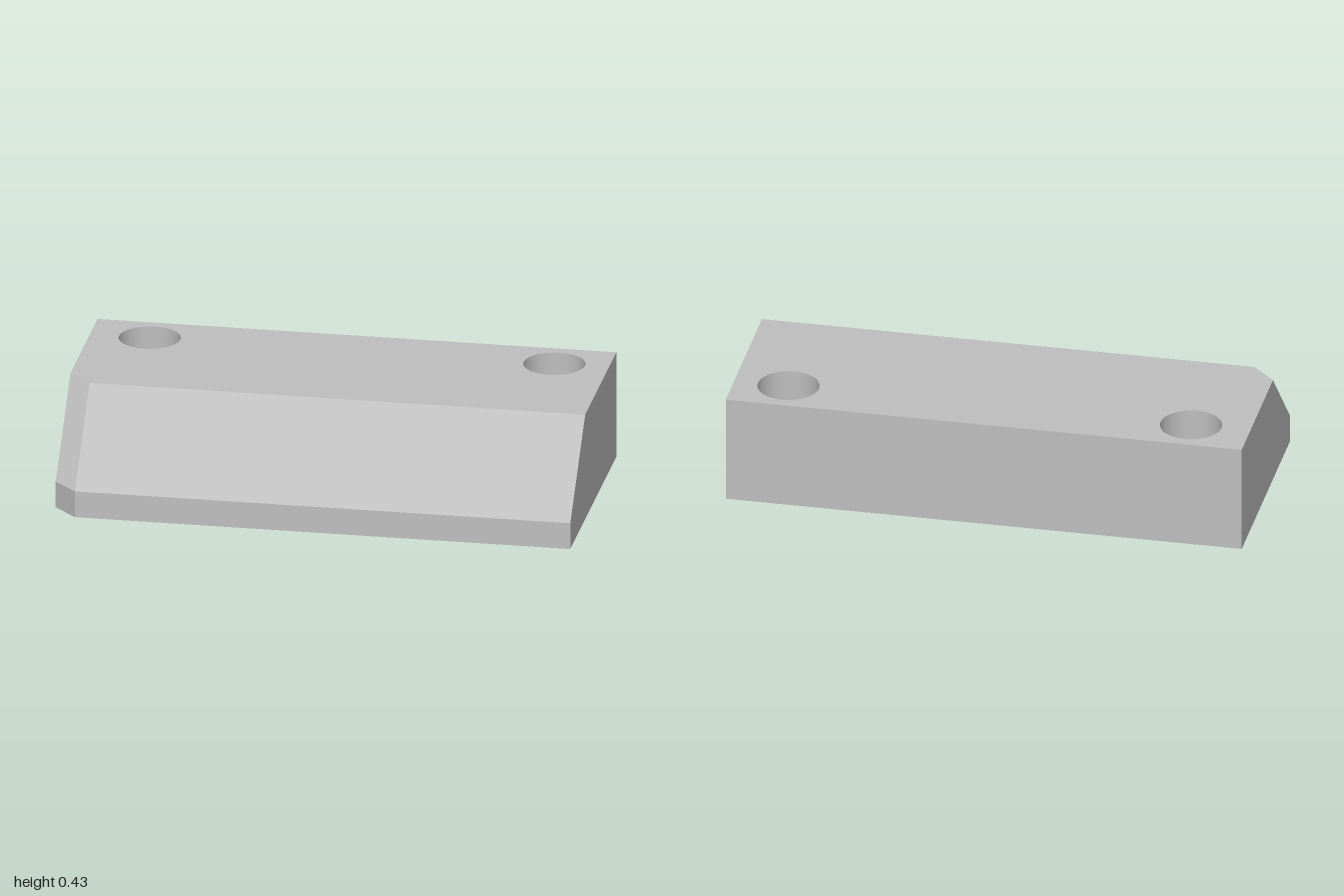
import * as THREE from 'three';

const HEIGHT = 0.425, LIP = 0.105, FRONT = 0.495, BACK = -0.495;
const SLOPE_Z = 0.175, CUT = 0.09;
const HOLE_R = 0.118, HOLE_DEPTH = 0.32, HOLE_Z = -0.335;
const HOLE_XS = [-0.77, 0.79];

// Plan outline [x, z] whose front edge sits at the given z, with one front corner cut off
const outline = (front) => [
  [-1 + CUT, front], [1, front], [1, BACK], [-1, BACK], [-1, front - CUT],
];

// Flat-shaded wall between two stacked outlines
function wall(lower, y0, upper, y1) {
  const pos = [];
  lower.forEach((a, i) => {
    const j = (i + 1) % lower.length;
    const b = lower[j], c = upper[j], d = upper[i];
    pos.push(a[0], y0, a[1], b[0], y0, b[1], c[0], y1, c[1]);
    pos.push(a[0], y0, a[1], c[0], y1, c[1], d[0], y1, d[1]);
  });
  const g = new THREE.BufferGeometry();
  g.setAttribute('position', new THREE.Float32BufferAttribute(pos, 3));
  g.computeVertexNormals();
  return g;
}

export function createModel() {
  const group = new THREE.Group();
  group.name = 'chamferedBlock';
  const grey = new THREE.MeshStandardMaterial({ color: 0xbfbfbf });
  grey.name = 'grey';

  const add = (name, geometry) => {
    const mesh = new THREE.Mesh(geometry, grey);
    mesh.name = name;
    group.add(mesh);
    return mesh;
  };

  const base = outline(FRONT), crown = outline(SLOPE_Z);

  // Upright lower band, then the sloped upper body
  add('lowerWalls', wall(base, 0, base, LIP));
  add('slopedWalls', wall(base, LIP, crown, HEIGHT));

  // Underside
  const under = new THREE.Shape(base.map(([x, z]) => new THREE.Vector2(x, z)));
  add('underside', new THREE.ShapeGeometry(under).rotateX(Math.PI / 2));

  // Top face, pierced by the two round holes
  const top = new THREE.Shape(crown.map(([x, z]) => new THREE.Vector2(x, -z)));
  for (const x of HOLE_XS) {
    top.holes.push(new THREE.Path().absarc(x, -HOLE_Z, HOLE_R, 0, Math.PI * 2, true));
  }
  add('topFace', new THREE.ShapeGeometry(top, 24).rotateX(-Math.PI / 2).translate(0, HEIGHT, 0));

  // Blind holes: inward-facing wall and flat floor
  const profile = [new THREE.Vector2(HOLE_R, HEIGHT), new THREE.Vector2(HOLE_R, HEIGHT - HOLE_DEPTH)];
  for (const x of HOLE_XS) {
    add('holeWall', new THREE.LatheGeometry(profile, 48)).position.set(x, 0, HOLE_Z);
    add('holeFloor', new THREE.CircleGeometry(HOLE_R, 48).rotateX(-Math.PI / 2))
      .position.set(x, HEIGHT - HOLE_DEPTH, HOLE_Z);
  }
  return group;
}
